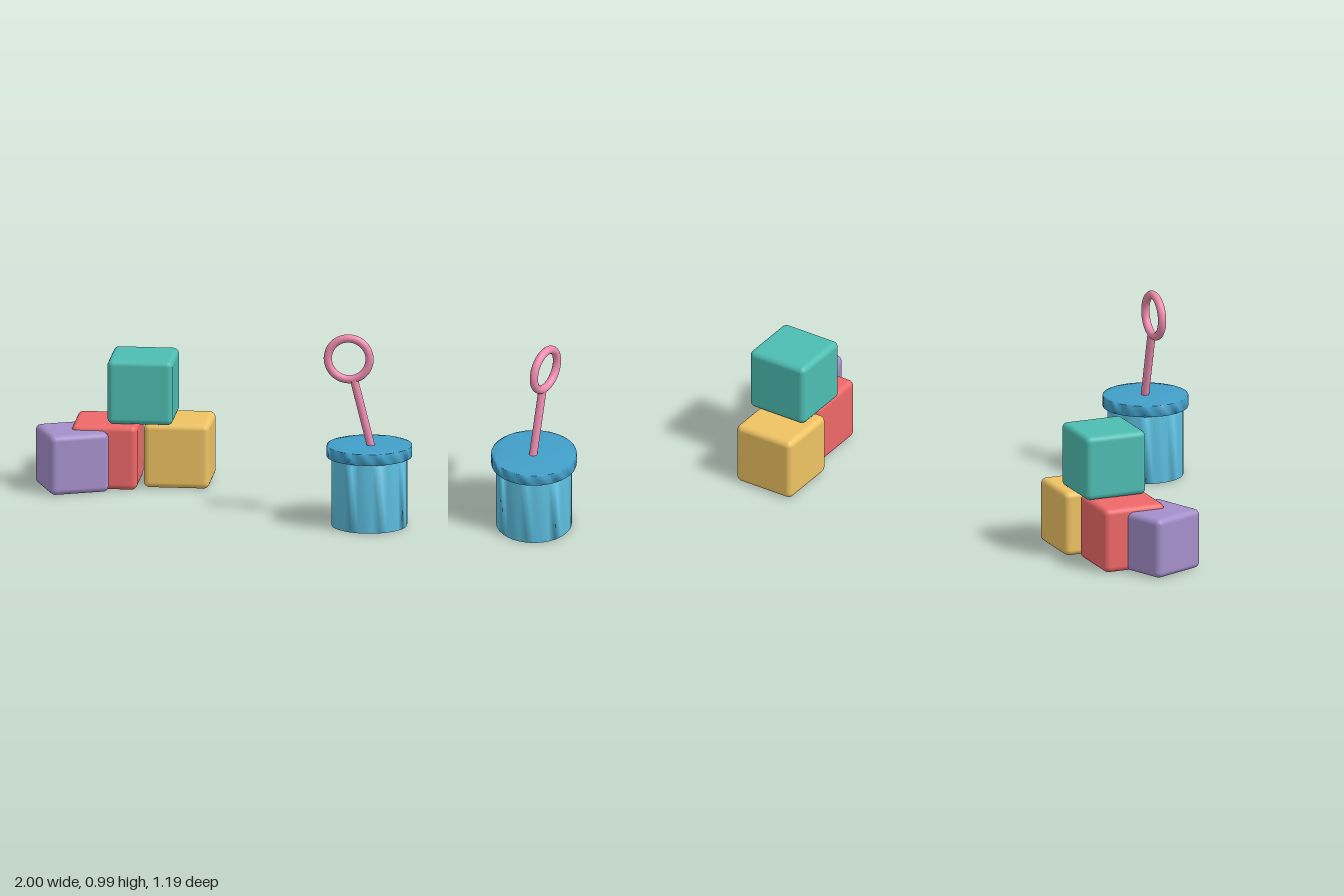
import * as THREE from 'three';
import { mergeVertices } from 'three/addons/utils/BufferGeometryUtils.js';
import { RoundedBoxGeometry } from 'three/addons/geometries/RoundedBoxGeometry.js';

function part(name, geometry, color, x, y, z) {
  const mesh = new THREE.Mesh(geometry, new THREE.MeshStandardMaterial({ color }));
  mesh.name = name;
  mesh.position.set(x, y, z);
  return mesh;
}

// Upright disc standing on its origin, with normals blended over the edges
function softDisc(radius, height, sides = 32) {
  const points = [];
  for (let i = 0; i < sides; i++) {
    const a = (i / sides) * Math.PI * 2;
    points.push(new THREE.Vector2(Math.cos(a) * radius, Math.sin(a) * radius));
  }
  const extruded = new THREE.ExtrudeGeometry(new THREE.Shape(points), { depth: height, bevelEnabled: false });
  extruded.rotateX(-Math.PI / 2);
  extruded.deleteAttribute('normal');
  extruded.deleteAttribute('uv');
  const smooth = mergeVertices(extruded, 1e-4);
  smooth.computeVertexNormals();
  return smooth;
}

export function createModel() {
  const model = new THREE.Group();
  model.name = 'sandToys';

  // Toy blocks: name, colour, size, x, base y, z, turn
  const blocks = new THREE.Group();
  blocks.name = 'blocks';
  const specs = [
    ['purpleBlock', 0xa58fcb, 0.31, -0.81, 0, -0.237, 0.39],
    ['redBlock', 0xee6868, 0.335, -0.643, 0, -0.364, 0],
    ['yellowBlock', 0xeec363, 0.335, -0.281, 0, -0.428, 0],
    ['tealBlock', 0x4dbdb3, 0.335, -0.463, 0.337, -0.389, 0],
  ];
  for (const [name, color, size, x, y, z, turn] of specs) {
    const block = part(name, new RoundedBoxGeometry(size, size, size, 4, 0.03), color, x, y + size / 2, z);
    block.rotation.y = turn;
    blocks.add(block);
  }
  model.add(blocks);

  // Bucket with a wide rim
  const cx = 0.778, cz = 0.378;
  const bucket = new THREE.Group();
  bucket.name = 'bucket';
  bucket.add(part('bucketBody', softDisc(0.193, 0.37), 0x5dbfe0, cx, 0, cz));
  bucket.add(part('bucketRim', softDisc(0.218, 0.057), 0x429fc9, cx, 0.361, cz));
  model.add(bucket);

  // Leaning wand with a ring at its tip
  const wand = new THREE.Group();
  wand.name = 'wand';
  const pink = 0xee8cb0;
  const foot = new THREE.Vector3(0.79, 0.395, cz);
  const tip = new THREE.Vector3(0.7, 0.755, cz);
  const along = tip.clone().sub(foot);
  const middle = foot.clone().add(tip).multiplyScalar(0.5);
  const stick = part('wandStick', new THREE.CylinderGeometry(0.021, 0.021, along.length(), 16), pink, middle.x, middle.y, middle.z);
  stick.quaternion.setFromUnitVectors(new THREE.Vector3(0, 1, 0), along.normalize());
  wand.add(stick);
  wand.add(part('wandRing', new THREE.TorusGeometry(0.107, 0.021, 16, 48), pink, 0.672, 0.865, cz));
  model.add(wand);

  return model;
}
